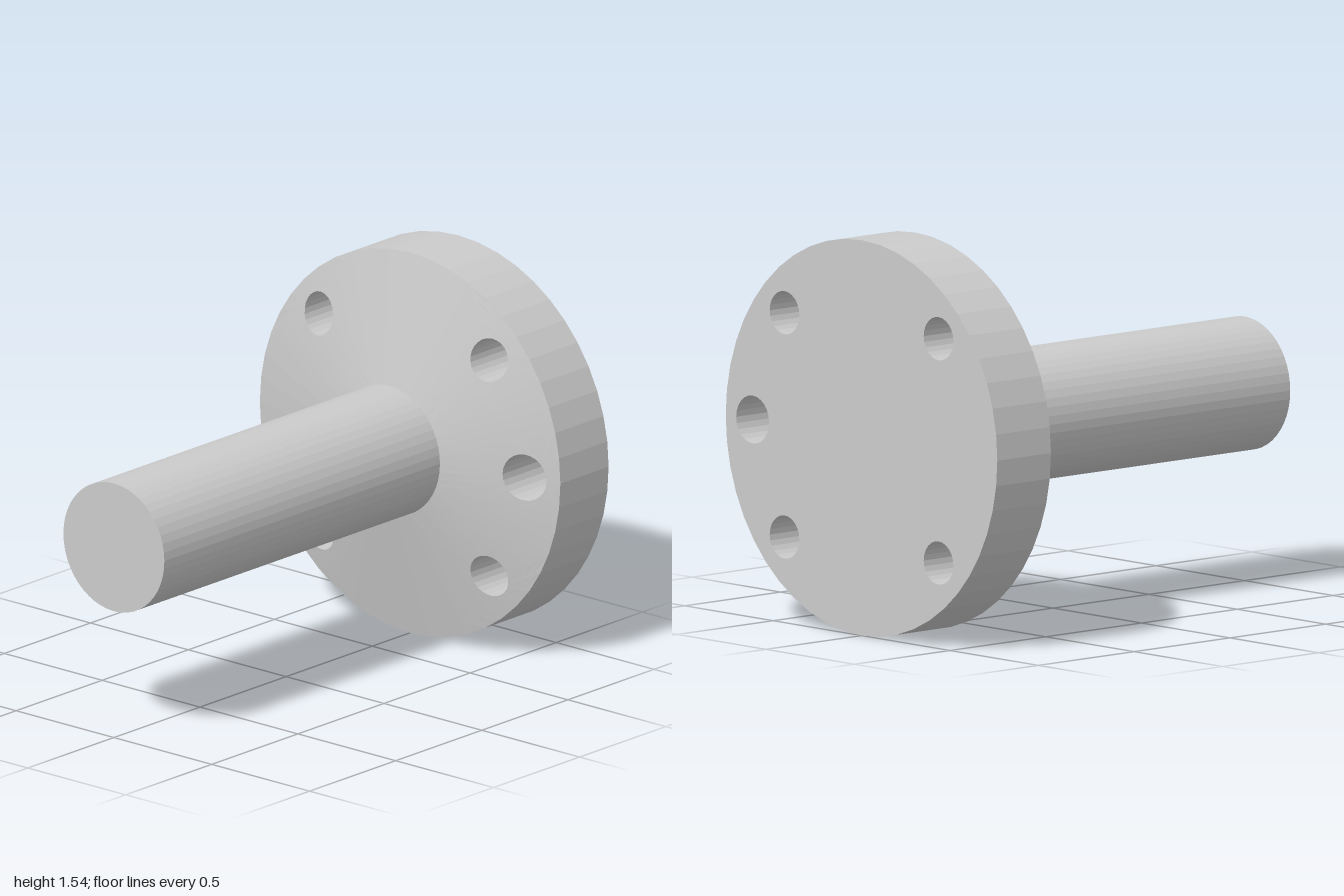
import * as THREE from 'three';
import { mergeGeometries } from 'three/addons/utils/BufferGeometryUtils.js';

const STEM_R = 0.258, RIM_R = 0.768, BOLT_R = 0.616;
const X_STEM = -1, X_NECK = 0.6, X_RIM = 0.72, X_FACE = 1;
const SIDES = 48, STEP = (Math.PI * 2) / SIDES, HOLE_SIDES = 24;
// bolt holes by octant; octant 0 points to +z, octant 2 to +y
const HOLES = { 0: 0.093, 1: 0.084, 3: 0.084, 5: 0.084, 7: 0.084 };

// height of the tapered back at a given radius
const coneX = (r) => THREE.MathUtils.mapLinear(r, STEM_R, RIM_R, X_NECK, X_RIM);
const polar = (r, a) => new THREE.Vector2(r * Math.cos(a), r * Math.sin(a)); // (z, y)
const onCone = (p) => [coneX(p.length()), p.y, p.x];

// surface through rows of points
function grid(rows) {
  const n = rows[0].length, index = [];
  for (let j = 0; j < rows.length - 1; j++) {
    for (let k = 0; k < n - 1; k++) {
      const a = j * n + k, b = a + n;
      index.push(a, b, b + 1, a, b + 1, a + 1);
    }
  }
  const geo = new THREE.BufferGeometry();
  geo.setAttribute('position', new THREE.Float32BufferAttribute(rows.flat(2), 3));
  geo.setIndex(index);
  geo.computeVertexNormals();
  return geo;
}

const holePoint = (octant, k) => {
  const a = (octant * Math.PI) / 4;
  return polar(BOLT_R, a).add(polar(HOLES[octant], a + (k * Math.PI * 2) / HOLE_SIDES));
};

// outline of one octant, walked in 24 steps from the middle of its outer arc
function octantEdge(octant, k) {
  const mid = (octant * Math.PI) / 4, lerp = THREE.MathUtils.lerp;
  if (k <= 3) return polar(RIM_R, mid + k * STEP);
  if (k <= 9) return polar(lerp(RIM_R, STEM_R, (k - 3) / 6), mid + 3 * STEP);
  if (k <= 15) return polar(STEM_R, mid + (12 - k) * STEP);
  if (k <= 21) return polar(lerp(STEM_R, RIM_R, (k - 15) / 6), mid - 3 * STEP);
  return polar(RIM_R, mid + (k - 24) * STEP);
}

// tapered octant with a bolt hole: bore wall, then rings spreading to the outline
function drilledOctant(octant) {
  const ks = Array.from({ length: HOLE_SIDES + 1 }, (_, k) => k);
  const bore = ks.map((k) => holePoint(octant, k));
  const wall = grid([bore.map((p) => [X_FACE, p.y, p.x]), bore.map(onCone)]);
  const rings = [0, 0.25, 0.5, 0.75, 1].map((t) =>
    ks.map((k) => onCone(bore[k].clone().lerp(octantEdge(octant, k), t))));
  return [wall, grid(rings)];
}

function plainOctant(octant) {
  const mid = (octant * Math.PI) / 4;
  return [grid([STEM_R, RIM_R].map((r) =>
    [-3, -2, -1, 0, 1, 2, 3].map((k) => onCone(polar(r, mid + k * STEP)))))];
}

// turned surface along x
function turned(points) {
  const profile = points.map(([r, x]) => new THREE.Vector2(r, x));
  return new THREE.LatheGeometry(profile, SIDES).rotateZ(-Math.PI / 2);
}

export function createModel() {
  const group = new THREE.Group();
  const material = new THREE.MeshStandardMaterial({ color: 0xcccccc, flatShading: true });
  const add = (name, geometry) => {
    const mesh = new THREE.Mesh(geometry, material);
    mesh.name = name;
    mesh.position.y = RIM_R;
    group.add(mesh);
  };

  // stem with closed end, and the flange's outer rim
  add('stem', turned([[0, X_STEM], [STEM_R, X_STEM], [STEM_R, X_NECK]]));
  add('flangeRim', turned([[RIM_R, X_RIM], [RIM_R, X_FACE]]));

  // tapered back with bolt holes
  const octants = [];
  for (let o = 0; o < 8; o++) octants.push(...(HOLES[o] ? drilledOctant(o) : plainOctant(o)));
  add('flangeTaper', mergeGeometries(octants));

  // flat mounting face; the shape's x is -z
  const mirror = (p) => new THREE.Vector2(-p.x, p.y);
  const face = new THREE.Shape(
    Array.from({ length: SIDES }, (_, i) => mirror(polar(RIM_R, i * STEP))));
  for (const o of Object.keys(HOLES)) {
    face.holes.push(new THREE.Path(
      Array.from({ length: HOLE_SIDES }, (_, k) => mirror(holePoint(Number(o), k)))));
  }
  add('mountingFace',
    new THREE.ShapeGeometry(face).rotateY(Math.PI / 2).translate(X_FACE, 0, 0));

  return group;
}
